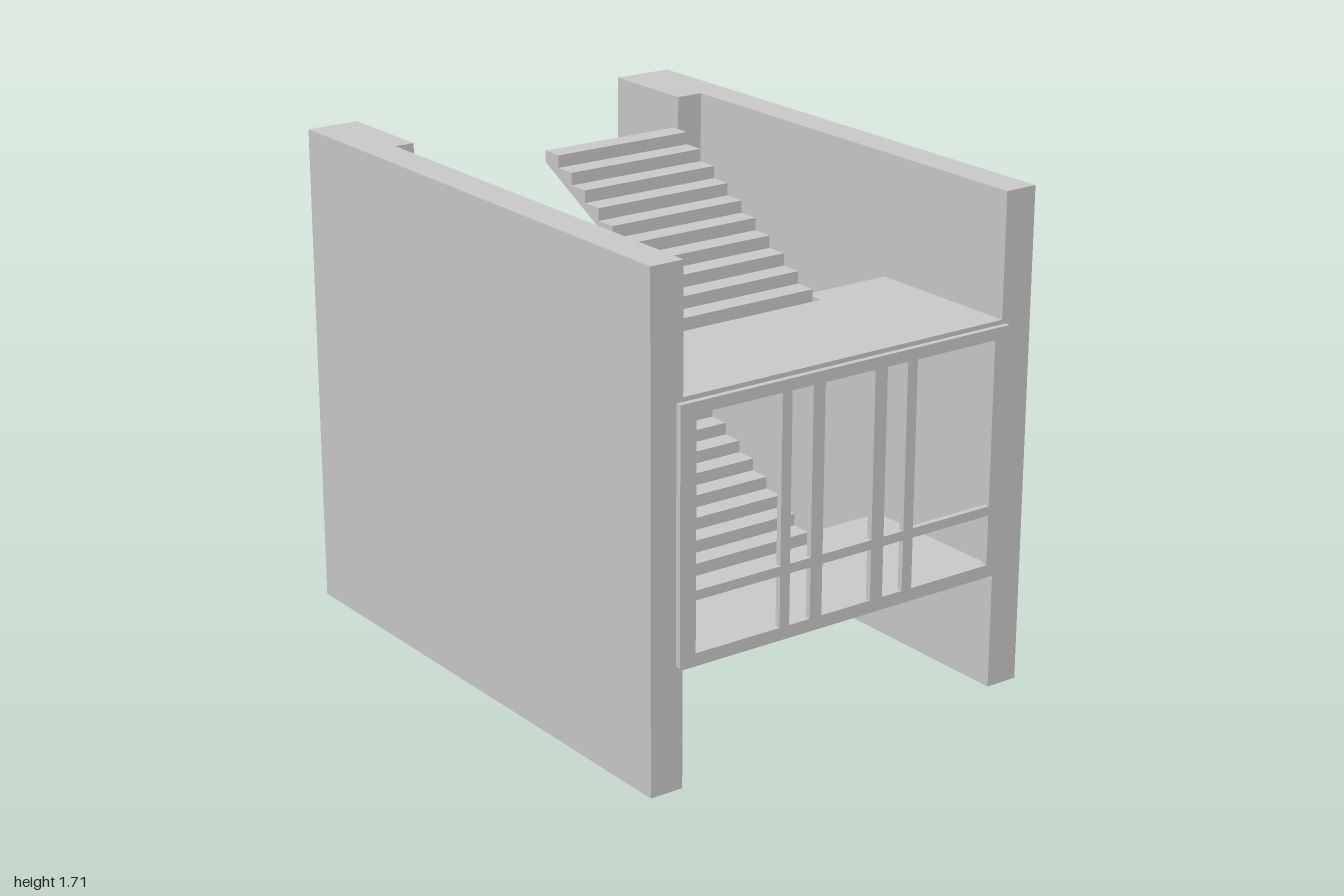
import * as THREE from 'three';

const material = new THREE.MeshStandardMaterial({ color: 0xcccccc, flatShading: true });
const LEVELS = [0.01, 0.435, 0.86, 1.285, 1.71]; // floor heights, alternating rear / front
const WELL_BACK = -0.29, WELL_FRONT = 0.475;     // stairwell extent in z
const STEPS = 10;

function add(parent, name, geometry) {
  const mesh = new THREE.Mesh(geometry, material);
  mesh.name = name;
  parent.add(mesh);
  return mesh;
}

// box given by its limits on each axis
function block(parent, name, [x0, x1], [y0, y1], [z0, z1]) {
  const mesh = add(parent, name, new THREE.BoxGeometry(x1 - x0, y1 - y0, z1 - z0));
  mesh.position.set((x0 + x1) / 2, (y0 + y1) / 2, (z0 + z1) / 2);
}

// saw-toothed flight with a sloping soffit, extruded across its width
function flight(parent, name, [x0, x1], bottom, top, zFoot, zHead) {
  const run = (zHead - zFoot) / STEPS, rise = (top - bottom) / STEPS;
  const s = new THREE.Shape();
  s.moveTo(-zFoot, bottom);
  for (let i = 0; i < STEPS; i++) {
    s.lineTo(-(zFoot + i * run), bottom + (i + 1) * rise);
    s.lineTo(-(zFoot + (i + 1) * run), bottom + (i + 1) * rise);
  }
  s.lineTo(-zHead, top - 0.038);
  s.closePath();
  const g = new THREE.ExtrudeGeometry(s, { depth: x1 - x0, bevelEnabled: false });
  g.rotateY(Math.PI / 2); // shape x becomes -z, depth becomes +x
  g.translate(x0, 0, 0);
  add(parent, name, g);
}

function rectPoints(path, x0, x1, y0, y1) {
  path.moveTo(x0, y0);
  path.lineTo(x1, y0);
  path.lineTo(x1, y1);
  path.lineTo(x0, y1);
  path.closePath();
  return path;
}

export function createModel() {
  const model = new THREE.Group();
  model.name = 'splitLevelStairHouse';

  // side walls and the thickened rear piers
  block(model, 'rightWall', [-0.755, -0.635], [0, 1.71], [-1, 0.98]);
  block(model, 'leftWall', [0.63, 0.75], [0, 1.71], [-1, 0.98]);
  block(model, 'rightRearPier', [-0.635, -0.565], [0, 1.71], [-1, -0.63]);
  block(model, 'leftRearPier', [0.63 - 0.1, 0.63], [0, 1.71], [-1, -0.63]);

  // half-level floors: rear, front, rear, front
  for (let i = 0; i < 4; i++) {
    const front = i % 2 === 1;
    block(model, front ? 'frontFloor' : 'rearFloor', [-0.635, 0.63],
      [LEVELS[i] - (front ? 0.035 : i ? 0.013 : 0.01), LEVELS[i]],
      front ? [WELL_FRONT, 0.98] : [-1, WELL_BACK]);
  }

  // paired side flights climb to the front, central flights climb to the rear
  const stairs = new THREE.Group();
  stairs.name = 'stairs';
  model.add(stairs);
  for (let i = 0; i < 4; i++) {
    if (i % 2 === 0) {
      flight(stairs, 'rightFlight', [-0.635, -0.3], LEVELS[i], LEVELS[i + 1], WELL_BACK, WELL_FRONT);
      flight(stairs, 'leftFlight', [0.295, 0.63], LEVELS[i], LEVELS[i + 1], WELL_BACK, WELL_FRONT);
    } else {
      flight(stairs, 'centreFlight', [-0.265, 0.26], LEVELS[i], LEVELS[i + 1], WELL_FRONT, WELL_BACK);
    }
  }

  // front window frame with five bays, each split by a rail
  const frame = rectPoints(new THREE.Shape(), -0.66, 0.645, 0.42, 1.27);
  const bays = [[-0.6, -0.275], [-0.237, -0.155], [-0.108, 0.09], [0.14, 0.222], [0.262, 0.585]];
  for (const [x0, x1] of bays) {
    for (const [y0, y1] of [[0.455, 0.63], [0.662, 1.23]]) {
      frame.holes.push(rectPoints(new THREE.Path(), x0, x1, y0, y1));
    }
  }
  const frameGeometry = new THREE.ExtrudeGeometry(frame, { depth: 0.02, bevelEnabled: false });
  add(model, 'windowFrame', frameGeometry).position.z = 0.98;

  return model;
}
